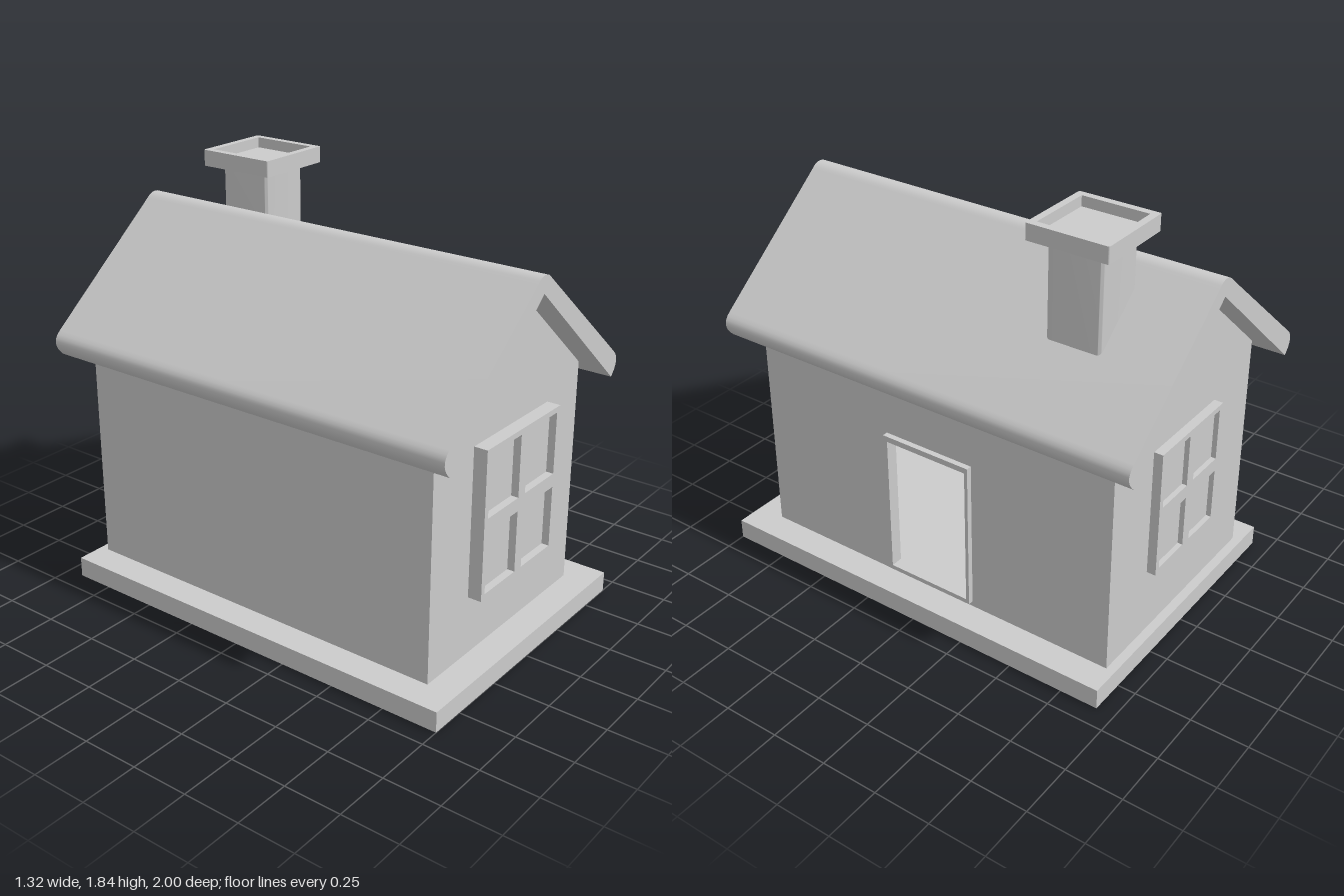
import * as THREE from 'three';
import { toCreasedNormals } from 'three/addons/utils/BufferGeometryUtils.js';

const material = new THREE.MeshStandardMaterial({ color: 0xcccccc });

function addMesh(parent, name, geometry) {
  const mesh = new THREE.Mesh(geometry, material);
  mesh.name = name;
  parent.add(mesh);
  return mesh;
}

// Box given by its lower and upper corners
function box(x0, y0, z0, x1, y1, z1) {
  return new THREE.BoxGeometry(x1 - x0, y1 - y0, z1 - z0)
    .translate((x0 + x1) / 2, (y0 + y1) / 2, (z0 + z1) / 2);
}

// Outline of a rectangle, optionally with rounded corners
function rect(x0, y0, x1, y1, r = 0, Type = THREE.Shape) {
  const s = new Type();
  if (!r) {
    return s.setFromPoints([[x0, y0], [x1, y0], [x1, y1], [x0, y1]].map(p => new THREE.Vector2(...p)));
  }
  s.absarc(x1 - r, y0 + r, r, -Math.PI / 2, 0);
  s.absarc(x1 - r, y1 - r, r, 0, Math.PI / 2);
  s.absarc(x0 + r, y1 - r, r, Math.PI / 2, Math.PI);
  s.absarc(x0 + r, y0 + r, r, Math.PI, Math.PI * 1.5);
  s.closePath();
  return s;
}

function extrude(shape, depth, holes = []) {
  shape.holes = holes.map(h => rect(...h, 0, THREE.Path));
  return new THREE.ExtrudeGeometry(shape, { depth, bevelEnabled: false, curveSegments: 8 });
}

// Four-pane window, drawn facing +z with its back on z = 0
function makeWindow(name, width, height, depth) {
  const g = new THREE.Group();
  g.name = name;
  const w = width / 2, h = height / 2, rim = 0.024, bar = 0.025;
  const holes = [];
  for (const sx of [-1, 1]) {
    for (const sy of [-1, 1]) {
      const xs = [sx * bar, sx * (w - rim)].sort((a, b) => a - b);
      const ys = [sy * bar * 1.2, sy * (h - rim)].sort((a, b) => a - b);
      holes.push([xs[0], ys[0], xs[1], ys[1]]);
    }
  }
  addMesh(g, 'windowFrame', extrude(rect(-w, -h, w, h), depth, holes));
  addMesh(g, 'windowPanes', box(1e-2 - w, 1e-2 - h, 0, w - 1e-2, h - 1e-2, depth * 0.45));
  return g;
}

export function createModel() {
  const house = new THREE.Group();
  house.name = 'house';

  // Foundation slab
  addMesh(house, 'foundation', box(-0.66, 0, -0.92, 0.66, 0.09, 1));

  // Gable walls at both ends of the hollow room
  const t = 0.03, W = 0.53, eave = 1.1, zBack = -0.88, zFront = 0.87;
  const gable = new THREE.Shape([[-W, 0.09], [W, 0.09], [W, eave], [0, 1.56], [-W, eave]]
    .map(p => new THREE.Vector2(...p)));
  addMesh(house, 'frontWall', extrude(gable, t)).position.z = zFront - t;
  addMesh(house, 'backWall', extrude(gable, t)).position.z = zBack;

  // Side walls, the left one with an open doorway (shape x runs along -z)
  addMesh(house, 'rightWall', box(-W, 0.09, zBack + t, -W + t, eave + 0.01, zFront - t));
  const doorway = [-0.19, 0.135, 0.205, 0.765];
  const leftWall = addMesh(house, 'leftWall',
    extrude(rect(-zFront + t, 0.09, -zBack - t, eave + 0.01), t, [doorway]));
  leftWall.rotation.y = Math.PI / 2;
  leftWall.position.x = W - t;

  // Door frame
  const doorFrame = addMesh(house, 'doorFrame', extrude(rect(-0.21, 0.115, 0.22, 0.79), 0.025, [doorway]));
  doorFrame.rotation.y = Math.PI / 2;
  doorFrame.position.x = W;

  // Roof with a rounded ridge and rounded eaves
  const roof = new THREE.Shape();
  roof.moveTo(0, 1.555);
  roof.lineTo(-0.602, 1.035);
  roof.bezierCurveTo(-0.64, 1.07, -0.655, 1.11, -0.61, 1.145);
  roof.lineTo(-0.05, 1.605);
  roof.bezierCurveTo(-0.02, 1.637, 0.02, 1.637, 0.05, 1.605);
  roof.lineTo(0.61, 1.145);
  roof.bezierCurveTo(0.655, 1.11, 0.64, 1.07, 0.602, 1.035);
  roof.closePath();
  addMesh(house, 'roof', toCreasedNormals(extrude(roof, 1.985), 0.6)).position.z = -1;

  // Chimney shaft with soft edges, its foot cut to the roof slope
  const chimney = new THREE.Group();
  chimney.name = 'chimney';
  chimney.position.set(0.23, 0, -0.565);
  house.add(chimney);
  const shaft = extrude(rect(-0.12, -0.122, 0.12, 0.122, 0.018), 0.46).rotateX(-Math.PI / 2);
  const pos = shaft.attributes.position;
  for (let i = 0; i < pos.count; i++) {
    const foot = 1.41 - 0.83 * pos.getX(i);
    pos.setY(i, pos.getY(i) > 0.2 ? 1.775 : foot);
  }
  addMesh(chimney, 'chimneyShaft', toCreasedNormals(shaft, 0.6));

  // Chimney cap with a sunken top
  const c = 0.179, o = 0.148;
  addMesh(chimney, 'chimneyCapRim', extrude(rect(-c, -c, c, c, 0.006), 0.07, [[-o, -o, o, o]])
    .rotateX(-Math.PI / 2).translate(0, 1.77, 0));
  addMesh(chimney, 'chimneyCapFloor', box(-o, 1.77, -o, o, 1.795, o));

  // Windows on the front and back
  const frontWindow = makeWindow('frontWindow', 0.545, 0.65, 0.06);
  frontWindow.position.set(0.012, 0.675, zFront);
  const backWindow = makeWindow('backWindow', 0.475, 0.57, 0.04);
  backWindow.position.set(0.01, 0.675, zBack);
  backWindow.rotation.y = Math.PI;
  house.add(frontWindow, backWindow);

  return house;
}
